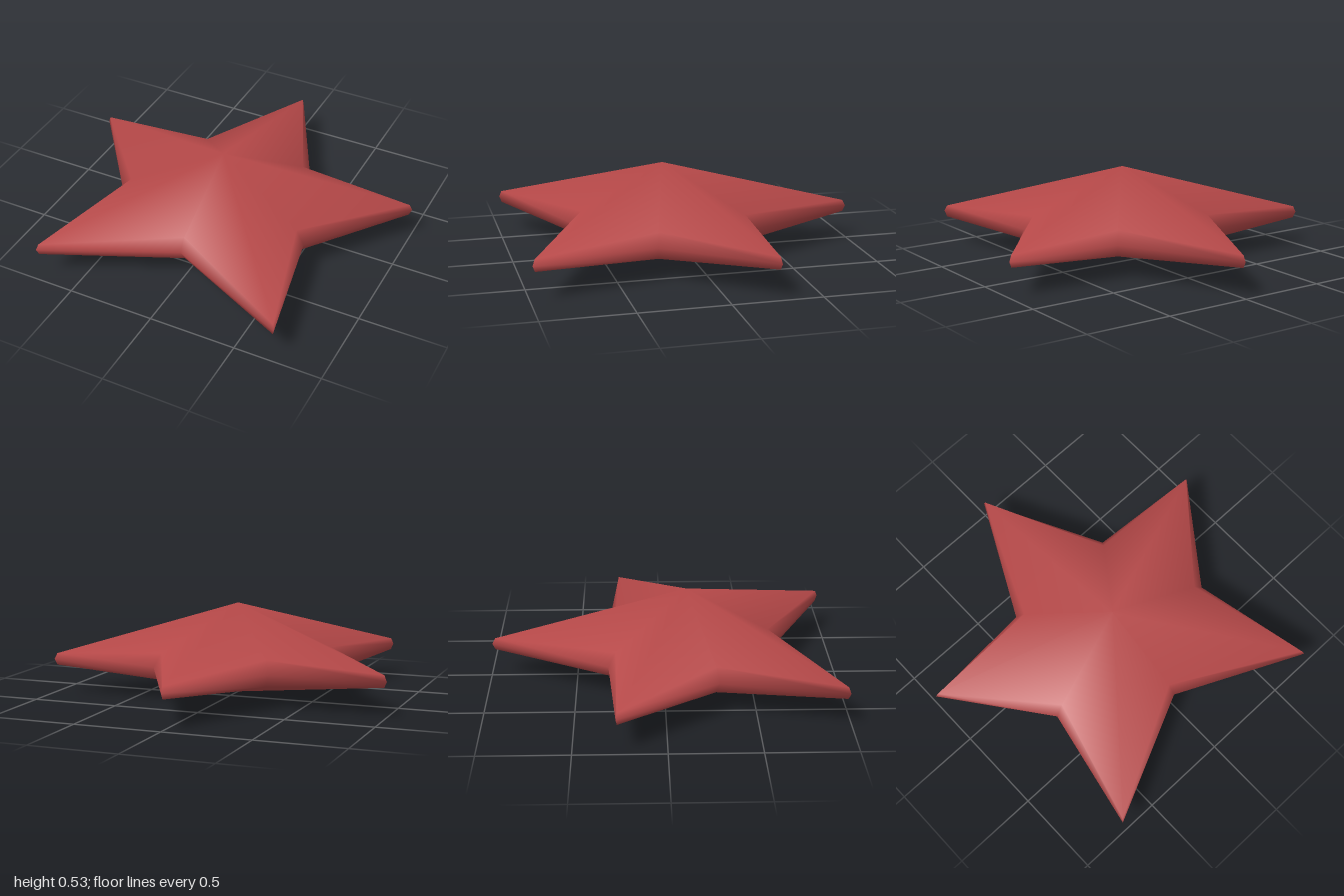
import * as THREE from 'three';

// Outline of the star on the right half, back tip to front notch: x, z, isTip
const half = [
  [0, -0.99, true], [0.345, -0.315, false], [1, -0.27, true],
  [0.575, 0.29, false], [0.72, 0.985, true], [0, 0.65, false],
];
const CENTRE_Z = 0.13;
const MID_Y = 0.198;

export function createModel() {
  const group = new THREE.Group();
  const red = new THREE.MeshStandardMaterial({ color: 0xb54848 });
  red.name = 'starRed';

  // Mirror the half outline to get all ten corners
  const mirrored = half.slice(1, -1).reverse().map(([x, z, tip]) => [-x, z, tip]);
  const outline = [...half, ...mirrored];
  const n = outline.length;

  // Three rings: upper bevel, rim, lower bevel; notches are thicker than tips
  const positions = [];
  for (const side of [1, 0, -1]) {
    for (const [x, z, tip] of outline) {
      const scale = side === 0 ? 1 : tip ? 0.985 : 0.91;
      const rise = tip ? 0.034 : 0.075;
      positions.push(x * scale, MID_Y + side * rise, CENTRE_Z + (z - CENTRE_Z) * scale);
    }
  }
  // Peaks above and below
  const top = n * 3, bottom = top + 1;
  positions.push(0, 0.53, CENTRE_Z, 0, 0, CENTRE_Z);

  const index = [];
  for (let i = 0; i < n; i++) {
    const j = (i + 1) % n;
    index.push(top, j, i);
    for (const r of [0, n]) {
      index.push(r + i, r + j, r + n + i, r + j, r + n + j, r + n + i);
    }
    index.push(bottom, 2 * n + i, 2 * n + j);
  }

  const geometry = new THREE.BufferGeometry();
  geometry.setAttribute('position', new THREE.Float32BufferAttribute(positions, 3));
  geometry.setIndex(index);
  geometry.computeVertexNormals();

  const star = new THREE.Mesh(geometry, red);
  star.name = 'starBody';
  group.add(star);
  return group;
}
